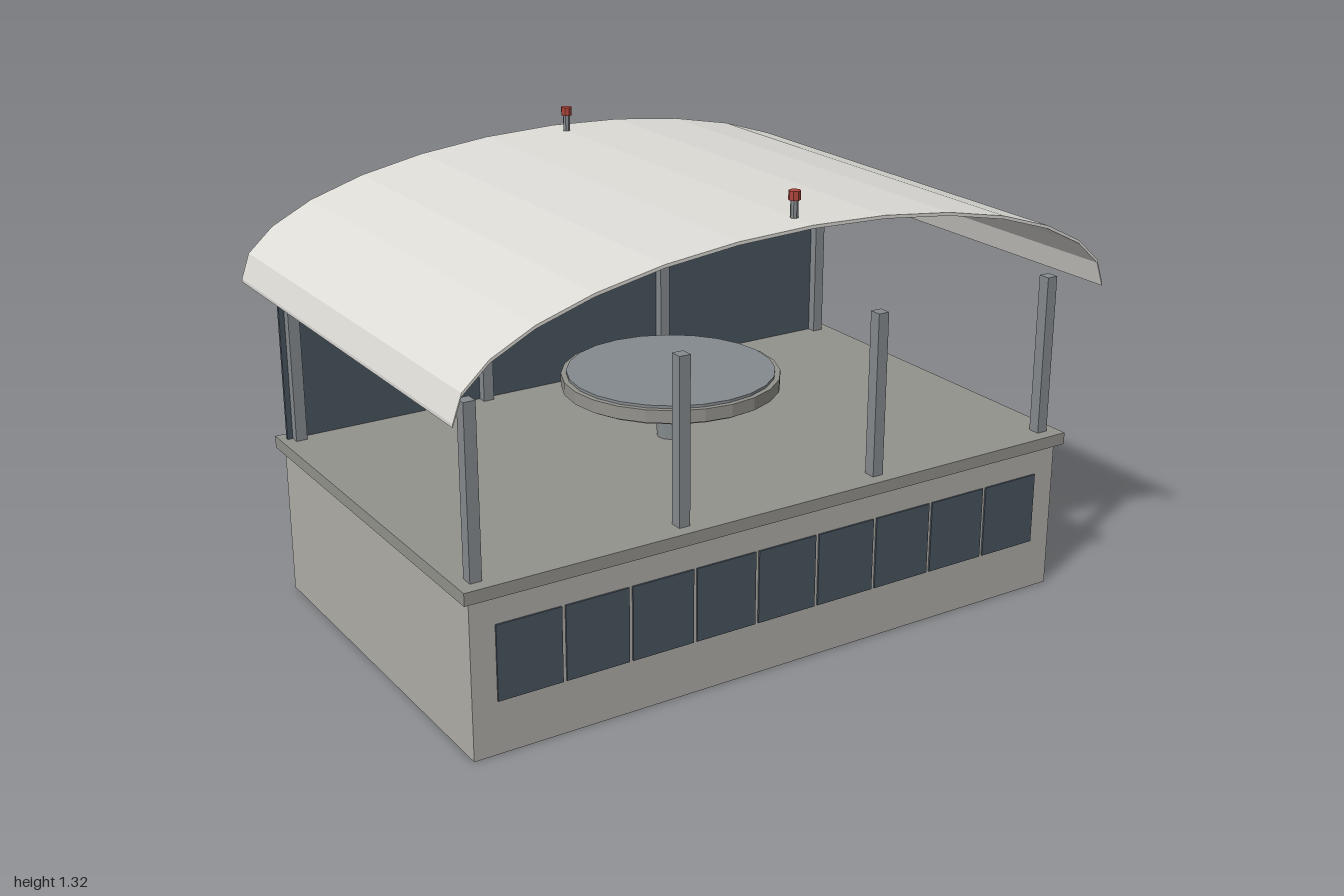
import * as THREE from 'three';

const mat = (color, extra = {}) => new THREE.MeshStandardMaterial({ color, flatShading: true, ...extra });

export function createModel() {
  const model = new THREE.Group();
  const wall = mat(0xb0aea8), trim = mat(0x93928d), glass = mat(0x4a5560);
  const metal = mat(0x858a8e), roofMat = mat(0xdddcd7), red = mat(0xb0463e);

  const add = (name, geometry, material, x, y, z) => {
    const mesh = new THREE.Mesh(geometry, material);
    mesh.name = name;
    mesh.position.set(x, y, z);
    model.add(mesh);
    return mesh;
  };
  // Box given by its bottom height
  const box = (name, m, w, h, d, x, y, z) =>
    add(name, new THREE.BoxGeometry(w, h, d), m, x, y + h / 2, z);
  // Upright cylinder given by its bottom height
  const drum = (name, m, r, h, sides, x, y, z) =>
    add(name, new THREE.CylinderGeometry(r, r, h, sides), m, x, y + h / 2, z);

  // Lower storey and floor slab
  box('base', wall, 1.88, 0.44, 1.15, 0, 0, 0);
  box('floorSlab', trim, 1.92, 0.035, 1.19, 0, 0.44, 0);

  // Row of front windows
  for (let i = 0; i < 9; i++) {
    box('window', glass, 0.184, 0.21, 0.01, (i - 4) * 0.1945, 0.15, 0.575);
  }

  // Posts along front and back, with a screen behind the back row
  for (const z of [-0.54, 0.54]) {
    for (const x of [-0.908, -0.312, 0.312, 0.908]) {
      box('post', metal, 0.033, 0.465, 0.035, x, 0.475, z);
    }
  }
  box('backScreen', glass, 1.88, 0.465, 0.01, 0, 0.475, -0.555);

  // Round table: pedestal, top and projecting rim
  drum('tablePedestal', metal, 0.04, 0.15, 12, 0, 0.475, 0);
  drum('tableTop', metal, 0.296, 0.053, 24, 0, 0.622, 0);
  drum('tableRim', trim, 0.311, 0.037, 24, 0, 0.63, 0);

  // Thin arched roof: half an ellipse, thickened vertically
  const arch = [];
  for (let i = 0; i <= 14; i++) {
    const t = (i / 14) * Math.PI;
    arch.push(new THREE.Vector2(Math.cos(t), 0.935 + 0.315 * Math.sin(t)));
  }
  const under = arch.map((p) => new THREE.Vector2(p.x, p.y - 0.009)).reverse();
  const roof = new THREE.ExtrudeGeometry(new THREE.Shape([...arch, ...under]), {
    depth: 1.312, bevelEnabled: false,
  });
  add('roof', roof, roofMat, 0, 0, -0.656);

  // Beacons at both ends of the ridge
  for (const z of [-0.573, 0.573]) {
    drum('beaconPole', metal, 0.0105, 0.055, 8, 0, 1.24, z);
    drum('beaconLamp', red, 0.016, 0.024, 8, 0, 1.296, z);
  }
  return model;
}
